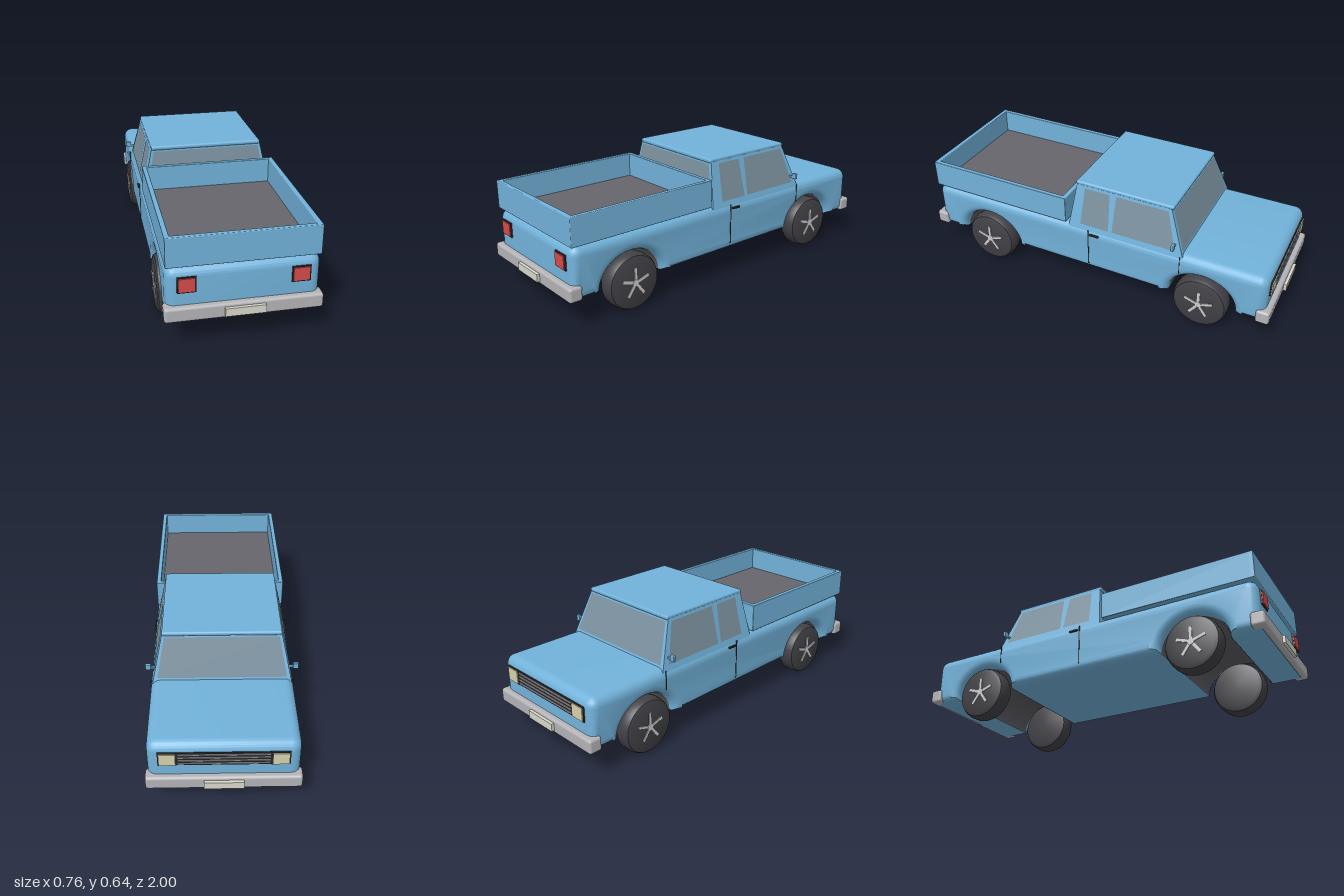
import * as THREE from 'three';
import { toCreasedNormals } from 'three/addons/utils/BufferGeometryUtils.js';
import { RoundedBoxGeometry } from 'three/addons/geometries/RoundedBoxGeometry.js';

const mat = (color, side = THREE.FrontSide) => new THREE.MeshStandardMaterial({ color, side });

export function createModel() {
  const truck = new THREE.Group();
  truck.name = 'pickupTruck';
  const paint = mat(0x72b2da), dark = mat(0x2b2b2e), rubber = mat(0x414146);
  const liner = mat(0x5a5a60, THREE.DoubleSide), floorGrey = mat(0x66656c);
  const chrome = mat(0xb4b4b8), spokeGrey = mat(0xcccccc), plateWhite = mat(0xd8d8cc);
  const red = mat(0xd64a4a), cream = mat(0xd8d2ac), glass = mat(0x7b919f, THREE.DoubleSide);

  const add = (name, geometry, material, x = 0, y = 0, z = 0, parent = truck) => {
    const mesh = new THREE.Mesh(geometry, material);
    mesh.name = name;
    mesh.position.set(x, y, z);
    parent.add(mesh);
    return mesh;
  };
  const box = (name, w, h, d, x, y, z, material, r = 0) =>
    add(name, r ? new RoundedBoxGeometry(w, h, d, 3, r) : new THREE.BoxGeometry(w, h, d), material, x, y, z);

  // Lower body: side profile with two wheel arches, extruded across with rounded edges
  const axleZ = 0.625, base = 0.145, end = 0.957, top = 0.405, r = 0.05, bevel = 0.045, halfW = 0.352;
  const profile = new THREE.Shape();
  profile.moveTo(-end, base);
  for (const z of [-axleZ, axleZ]) {
    profile.lineTo(z - 0.18, base);
    profile.absellipse(z, base, 0.18, 0.155, Math.PI, 0, true);
  }
  profile.lineTo(end, base);
  profile.absarc(end - r, top - r, r, 0, Math.PI / 2);
  profile.absarc(-end + r, top - r, r, Math.PI / 2, Math.PI);
  const body = new THREE.ExtrudeGeometry(profile, {
    depth: 2 * (halfW - bevel), bevelEnabled: true, bevelThickness: bevel, bevelSize: bevel,
    bevelOffset: -bevel, bevelSegments: 5, curveSegments: 20,
  });
  body.translate(0, 0, bevel - halfW).rotateY(-Math.PI / 2);
  // Recentre across the width
  body.computeBoundingBox();
  body.translate(-(body.boundingBox.min.x + body.boundingBox.max.x) / 2, 0, 0);
  add('body', toCreasedNormals(body, 0.7), paint);

  // Wheel wells: dark half tubes just inside the arches
  for (const z of [-axleZ, axleZ]) {
    const well = new THREE.CylinderGeometry(1, 1, 0.614, 24, 1, true, 0, Math.PI);
    well.rotateZ(Math.PI / 2).scale(1, 0.153, 0.178);
    add('wheelWell', well, liner, 0, base, z);
  }

  // Cab: box tapered upwards; the same taper places the windows
  const taper = y => (y - 0.405) / 0.215;
  const cabX = y => 0.34 - 0.047 * taper(y);
  const cabBack = y => 0.115 - 0.027 * taper(y);
  const cabFront = y => -0.515 + 0.08 * taper(y);
  const cab = new THREE.BoxGeometry(2, 1, 2);
  const p = cab.attributes.position;
  for (let i = 0; i < p.count; i++) {
    const y = p.getY(i) > 0 ? 0.625 : 0.375;
    p.setXYZ(i, p.getX(i) * cabX(y), y, p.getZ(i) > 0 ? cabBack(y) : cabFront(y));
  }
  cab.computeVertexNormals();
  add('cab', cab, paint);
  box('roof', 0.584, 0.023, 0.538, 0, 0.63, -0.174, paint, 0.01);

  // Windows: flat panes given by four corners, counterclockwise from outside
  const pane = (name, corners) => {
    const g = new THREE.BufferGeometry();
    g.setAttribute('position', new THREE.Float32BufferAttribute(corners.flat(), 3));
    g.setIndex([0, 1, 2, 0, 2, 3]);
    g.computeVertexNormals();
    add(name, g, glass);
  };
  const lo = 0.417, hi = 0.612, lift = 0.003;
  const xLo = cabX(lo) - 0.018, xHi = cabX(hi) - 0.014;
  const zBack = y => cabBack(y) + lift, zFront = y => cabFront(y) - lift;
  pane('rearWindow', [[-xLo, lo, zBack(lo)], [xLo, lo, zBack(lo)], [xHi, hi, zBack(hi)], [-xHi, hi, zBack(hi)]]);
  pane('windshield', [[xLo, lo, zFront(lo)], [-xLo, lo, zFront(lo)], [-xHi, hi, zFront(hi)], [xHi, hi, zFront(hi)]]);
  for (const s of [1, -1]) {
    const sidePane = (name, a, b, c, d) => {
      const q = [[a, lo], [b, lo], [c, hi], [d, hi]].map(([z, y]) => [s * (cabX(y) + lift), y, z]);
      pane(name, s > 0 ? q : q.reverse());
    };
    sidePane('frontSideWindow', -0.13, -0.477, -0.418, -0.137);
    sidePane('rearSideWindow', 0.05, -0.11, -0.1, 0.04);

    // Door seams, handle and mirror
    box('doorSeam', 0.004, 0.215, 0.005, s * 0.352, 0.287, 0, dark);
    box('frontDoorSeam', 0.004, 0.1, 0.003, s * 0.352, 0.347, -0.508, dark);
    box('doorHandle', 0.012, 0.01, 0.05, s * 0.354, 0.372, -0.035, dark, 0.003);
    box('mirrorArm', 0.04, 0.01, 0.01, s * 0.345, 0.45, -0.472, paint);
    box('mirror', 0.028, 0.032, 0.016, s * 0.364, 0.457, -0.474, paint, 0.004);

    // Lamps in dark frames
    box('tailLightFrame', 0.086, 0.077, 0.02, s * 0.258, 0.323, 0.954, dark);
    box('tailLight', 0.076, 0.067, 0.02, s * 0.258, 0.323, 0.959, red);
    box('headlightFrame', 0.086, 0.077, 0.02, s * 0.258, 0.323, -0.954, dark);
    box('headlight', 0.076, 0.067, 0.02, s * 0.258, 0.323, -0.959, cream);

    // Cargo bed side walls
    box('bedSide', 0.024, 0.145, 0.825, s * 0.338, 0.48, 0.5435, paint, 0.004);

    // Bumpers and plates, front and rear
    box('bumper', 0.725, 0.073, 0.07, 0, 0.185, s * 0.95, chrome, 0.014);
    box('plate', 0.186, 0.04, 0.016, 0, 0.185, s * 0.984 + s * 0.008, plateWhite);
  }

  // Grille
  box('grillePanel', 0.432, 0.077, 0.02, 0, 0.323, -0.952, dark);
  for (let i = 0; i < 4; i++) box('grilleBar', 0.42, 0.007, 0.02, 0, 0.296 + i * 0.018, -0.957, chrome);

  // Cargo bed ends and floor
  for (const z of [0.143, 0.944]) box('bedEnd', 0.7, 0.145, 0.024, 0, 0.48, z, paint, 0.004);
  box('bedUnderside', 0.68, 0.012, 0.81, 0, 0.414, 0.5435, paint);
  box('bedFloor', 0.66, 0.006, 0.79, 0, 0.422, 0.5435, floorGrey);

  // Wheels: rounded tyre, hub disc and five spokes, outer face towards +x
  const tyre = new THREE.LatheGeometry([
    [0, -0.05], [0.115, -0.05], [0.135, -0.043], [0.143, -0.028], [0.145, 0],
    [0.143, 0.028], [0.135, 0.043], [0.115, 0.05], [0, 0.05],
  ].map(([x, y]) => new THREE.Vector2(x, y)), 32);
  const tyreGeometry = toCreasedNormals(tyre.rotateZ(-Math.PI / 2), 0.6);
  const hub = new THREE.CylinderGeometry(0.018, 0.018, 0.008, 16).rotateZ(Math.PI / 2);
  const spoke = new THREE.BoxGeometry(0.006, 0.07, 0.014).translate(0, 0.043, 0);
  for (const s of [1, -1]) for (const z of [-axleZ, axleZ]) {
    const wheel = new THREE.Group();
    wheel.name = 'wheel';
    wheel.position.set(s * 0.311, 0.145, z);
    if (s < 0) wheel.rotation.y = Math.PI;
    add('tyre', tyreGeometry, rubber, 0, 0, 0, wheel);
    add('hub', hub, spokeGrey, 0.051, 0, 0, wheel);
    for (let i = 0; i < 5; i++)
      add('spoke', spoke, spokeGrey, 0.051, 0, 0, wheel).rotation.x = i * Math.PI * 2 / 5;
    truck.add(wheel);
  }
  return truck;
}
